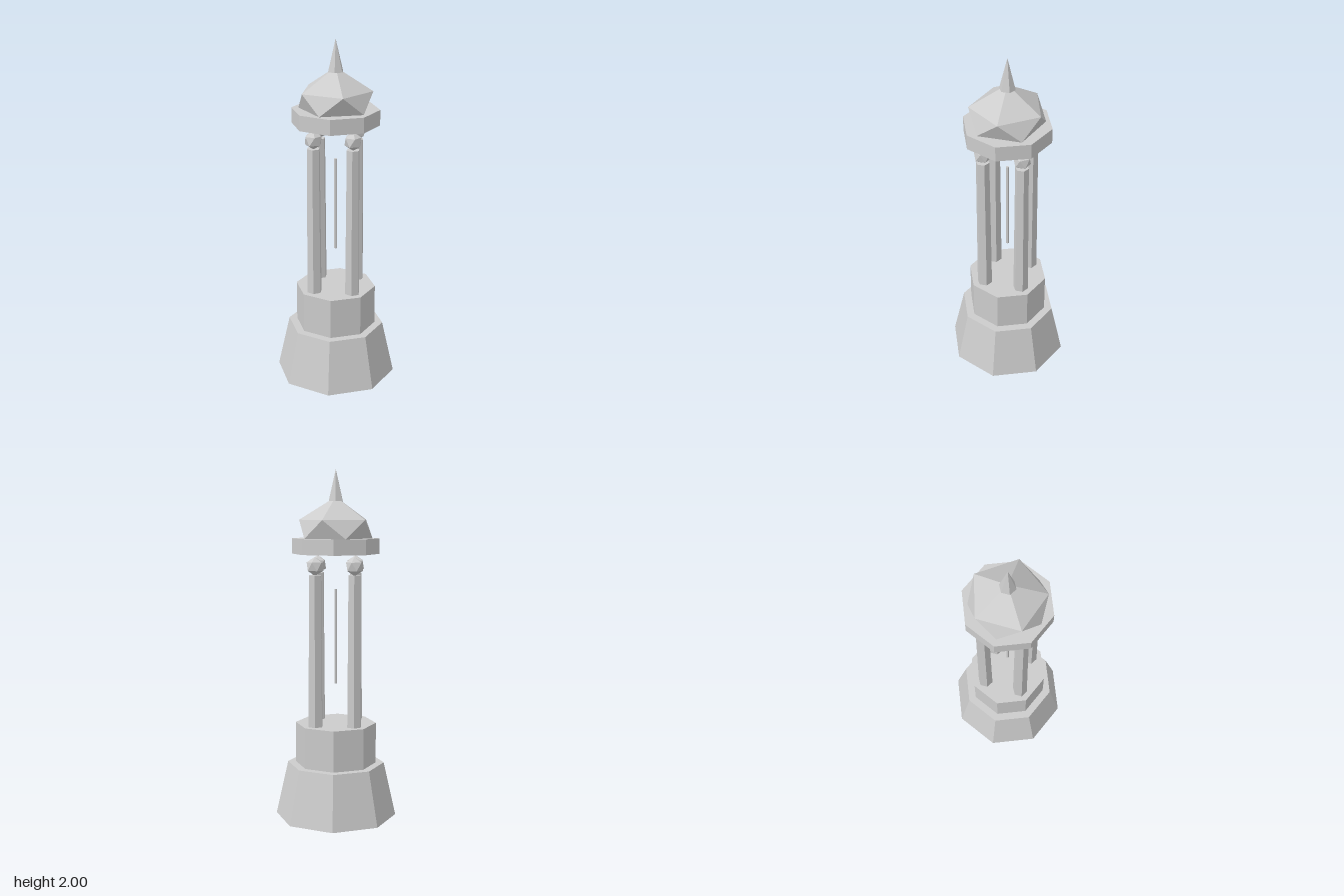
import * as THREE from 'three';

const stone = new THREE.MeshStandardMaterial({ color: 0xcccccc, flatShading: true });
stone.name = 'stone';

export function createModel() {
  const group = new THREE.Group();
  group.name = 'bellTower';

  const add = (name, geometry, x = 0, y = 0, z = 0) => {
    const mesh = new THREE.Mesh(geometry, stone);
    mesh.name = name;
    mesh.position.set(x, y, z);
    group.add(mesh);
    return mesh;
  };

  // Upright prism or cone between two heights
  const prism = (name, rBottom, rTop, y0, y1, sides, x = 0, z = 0) =>
    add(name, new THREE.CylinderGeometry(rTop, rBottom, y1 - y0, sides), x, (y0 + y1) / 2, z);

  // Icosahedron standing on one of its corners
  const ball = (radius) => {
    const t = (1 + Math.sqrt(5)) / 2;
    return new THREE.IcosahedronGeometry(radius, 0)
      .rotateZ(Math.atan(1 / t))
      .rotateY(Math.PI);
  };

  // Stepped octagonal base
  prism('base', 0.35, 0.28, 0, 0.312, 8);
  prism('plinth', 0.233, 0.233, 0.312, 0.548, 8);

  // Four tapered columns with faceted capitals
  for (const x of [-0.11, 0.11]) {
    for (const z of [-0.11, 0.11]) {
      prism('column', 0.044, 0.038, 0.548, 1.412, 6, x, z);
      add('capital', ball(0.053), x, 1.46, z);
    }
  }

  // Slender rod hanging in the open middle
  prism('rod', 0.009, 0.009, 0.78, 1.325, 6);

  // Roof slab
  prism('roofSlab', 0.248, 0.248, 1.526, 1.613, 8);

  // Dome: the lower half of the ball is pressed flat onto the slab
  const dome = ball(0.2326);
  const p = dome.attributes.position;
  for (let i = 0; i < p.count; i++) p.setY(i, Math.max(0, p.getY(i)));
  dome.computeVertexNormals();
  add('dome', dome, 0, 1.613, 0);

  // Spire
  prism('spire', 0.045, 0, 1.82, 2, 6);

  return group;
}
